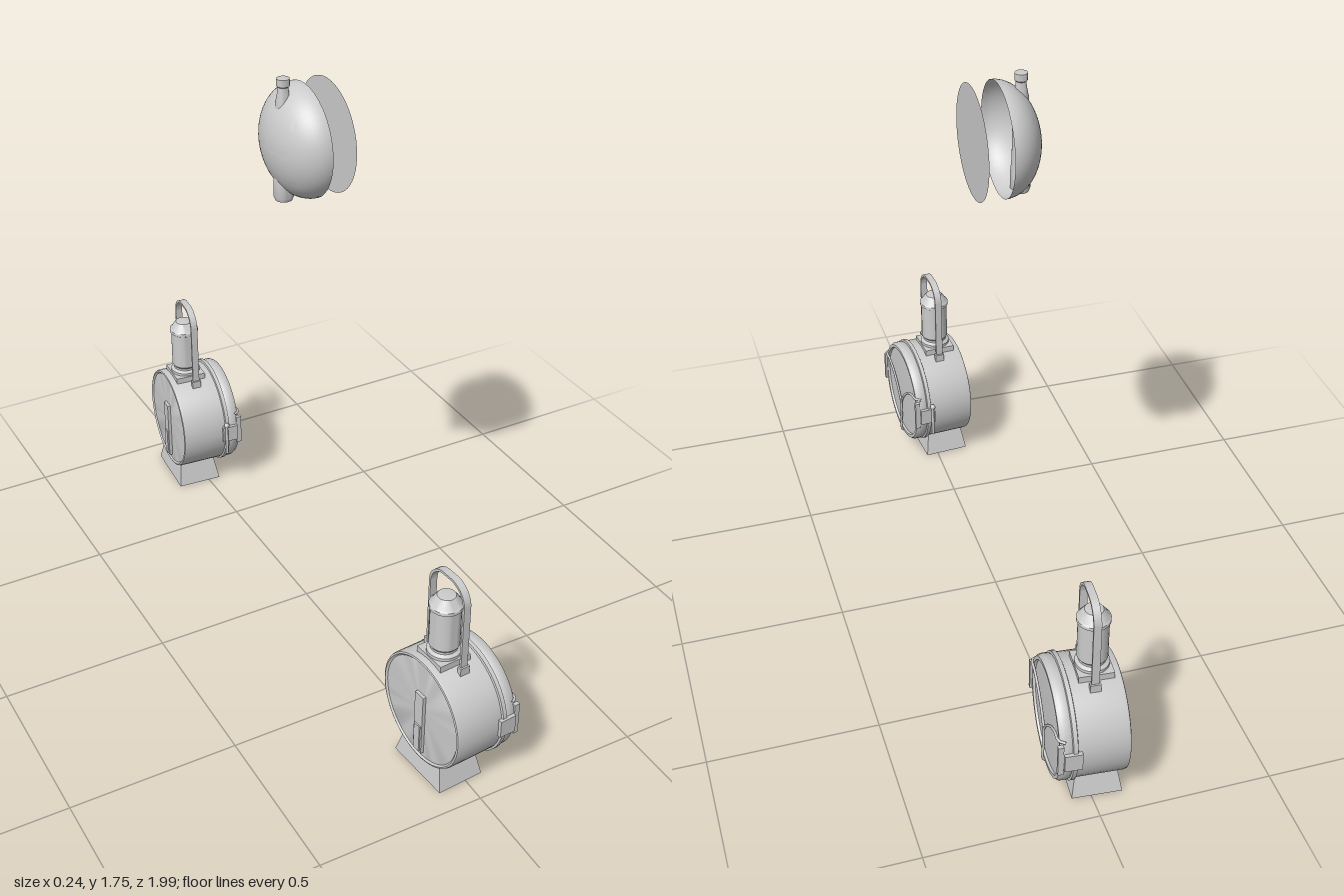
import * as THREE from 'three';
import { toCreasedNormals } from 'three/addons/utils/BufferGeometryUtils.js';

const grey = new THREE.MeshStandardMaterial({ color: 0xcccccc });
const greyDouble = new THREE.MeshStandardMaterial({ color: 0xcccccc, side: THREE.DoubleSide });

function add(parent, name, geometry, x = 0, y = 0, z = 0, material = grey) {
  const mesh = new THREE.Mesh(geometry, material);
  mesh.name = name;
  mesh.position.set(x, y, z);
  parent.add(mesh);
  return mesh;
}

// Turned part from [radius, height] pairs, bottom to top
function turned(points, segments = 40) {
  const g = new THREE.LatheGeometry(points.map(([r, h]) => new THREE.Vector2(r, h)), segments);
  return toCreasedNormals(g, 0.6);
}

// The same, lying along +x
const turnedX = (points, segments) => turned(points, segments).rotateZ(-Math.PI / 2);

const box = (w, h, d) => new THREE.BoxGeometry(w, h, d);

function tube(points, radius) {
  const curve = new THREE.CatmullRomCurve3(points.map((p) => new THREE.Vector3(...p)));
  return new THREE.TubeGeometry(curve, 24, radius, 8);
}

// Flat strap bent into an upside-down U in the z-y plane
function bailGeometry(halfWidth, bottom, top, thick, width) {
  const outline = (shape, w, t) => {
    const r = w * 0.8;
    shape.moveTo(-w, bottom);
    shape.lineTo(-w, t - r);
    shape.absarc(-w + r, t - r, r, Math.PI, Math.PI / 2, true);
    shape.absarc(w - r, t - r, r, Math.PI / 2, 0, true);
    shape.lineTo(w, bottom);
    return shape;
  };
  const outer = outline(new THREE.Shape(), halfWidth, top);
  const inner = outline(new THREE.Shape(), halfWidth - thick, top - thick).getPoints(10).reverse();
  inner.forEach((p) => outer.lineTo(p.x, p.y));
  outer.closePath();
  const g = new THREE.ExtrudeGeometry(outer, { depth: width, bevelEnabled: false, curveSegments: 10 });
  g.translate(0, 0, -width / 2).rotateY(Math.PI / 2);
  return toCreasedNormals(g, 0.6);
}

// Tapered foot: a box whose lower corners are spread outwards
function footGeometry() {
  const g = box(0.115, 0.085, 0.16).toNonIndexed();
  const p = g.attributes.position;
  for (let i = 0; i < p.count; i++) {
    if (p.getY(i) < 0) p.setXYZ(i, p.getX(i) * 1.25, p.getY(i), p.getZ(i) * 1.3);
  }
  g.computeVertexNormals();
  return g;
}

// Standing lantern facing +x; inner is the sign of z towards the middle
function createLantern(inner) {
  const lantern = new THREE.Group();
  const cy = 0.222;

  add(lantern, 'foot', footGeometry(), -0.025, 0.0425, 0);
  add(lantern, 'drum', turnedX([
    [0, -0.092], [0.158, -0.092], [0.163, -0.097], [0.168, -0.095], [0.17, -0.088],
    [0.17, 0.05], [0.176, 0.052], [0.176, 0.064], [0.169, 0.066],
  ], 48), 0, cy, 0);
  add(lantern, 'lensRim', turnedX([
    [0.169, 0.064], [0.172, 0.07], [0.172, 0.09], [0.166, 0.1], [0.156, 0.1], [0.153, 0.092],
  ], 48), 0, cy, 0);
  add(lantern, 'lens', turnedX([[0.154, 0.093], [0.08, 0.095], [0, 0.096]], 48), 0, cy, 0);

  // Wire guard over the lens: a stem that forks in two arms
  add(lantern, 'guardStem', tube([
    [0.09, 0.05, 0], [0.104, 0.062, 0], [0.104, 0.12, 0], [0.104, 0.18, 0],
  ], 0.004));
  for (const s of [-1, 1]) {
    add(lantern, 'guardArm', tube([
      [0.104, 0.178, 0], [0.104, 0.215, s * 0.025], [0.104, 0.26, s * 0.072],
      [0.104, 0.286, s * 0.12], [0.102, 0.289, s * 0.155], [0.085, 0.287, s * 0.166],
    ], 0.004));
    // Hinge and clip on each side of the rim
    add(lantern, 'hingeLeaf', box(0.05, 0.055, 0.012), 0.065, cy, s * 0.174);
    add(lantern, 'clip', box(0.016, 0.1, 0.012), 0.099, cy + 0.005, s * 0.166);
  }
  add(lantern, 'latchPin', new THREE.CylinderGeometry(0.005, 0.005, 0.11, 10),
    0.05, 0.205, inner * 0.183);
  add(lantern, 'latchKnob', new THREE.SphereGeometry(0.009, 12, 8), 0.05, 0.262, inner * 0.184);

  // Chimney on a square seat
  add(lantern, 'chimneySeat', box(0.1, 0.04, 0.105), -0.025, 0.383, 0);
  add(lantern, 'chimney', turned([
    [0.048, 0.39], [0.048, 0.412], [0.038, 0.418], [0.038, 0.425], [0.043, 0.432], [0.043, 0.552],
    [0.047, 0.555], [0.047, 0.565], [0.043, 0.568], [0.034, 0.582], [0.026, 0.592], [0, 0.595],
  ], 32), -0.025, 0, 0);

  add(lantern, 'carryingHandle', bailGeometry(0.077, 0.365, 0.655, 0.007, 0.022), -0.015, 0, 0);
  for (const s of [-1, 1]) {
    add(lantern, 'handleLug', box(0.03, 0.035, 0.014), -0.015, 0.378, s * 0.075);
  }

  // Mounting socket on the back
  add(lantern, 'backStrip', box(0.012, 0.2, 0.036), -0.096, 0.18, 0);
  add(lantern, 'backSocket', box(0.014, 0.09, 0.024), -0.099, 0.13, 0);
  return lantern;
}

// Upper headlamp: open bowl, a post through it and a disc in front
function createHeadlamp() {
  const lamp = new THREE.Group();
  const cy = 1.565, radius = 0.162, depth = 0.113;
  const bowl = [];
  for (let i = 0; i <= 16; i++) {
    const a = (i / 16) * Math.PI / 2;
    bowl.push([radius * Math.sin(a), -depth * Math.cos(a)]);
  }
  add(lamp, 'bowl', turnedX(bowl, 48), -0.006, cy, 0, greyDouble);
  add(lamp, 'lens', new THREE.CircleGeometry(radius, 48).rotateY(Math.PI / 2), 0.065, cy, 0, greyDouble);
  add(lamp, 'post', turned([
    [0, 1.402], [0.024, 1.402], [0.028, 1.412], [0.028, 1.46], [0.024, 1.5], [0.022, 1.62],
    [0.022, 1.68], [0.016, 1.71], [0.014, 1.728], [0.018, 1.732], [0.018, 1.752], [0, 1.755],
  ], 24), -0.07, 0, 0);
  return lamp;
}

export function createModel() {
  const model = new THREE.Group();
  model.name = 'lampSet';
  for (const s of [-1, 1]) {
    const lantern = createLantern(-s);
    lantern.name = s > 0 ? 'frontLantern' : 'rearLantern';
    lantern.position.z = s * 0.82;
    lantern.rotation.y = s * 0.08;
    model.add(lantern);
  }
  const headlamp = createHeadlamp();
  headlamp.name = 'headlamp';
  model.add(headlamp);
  return model;
}
